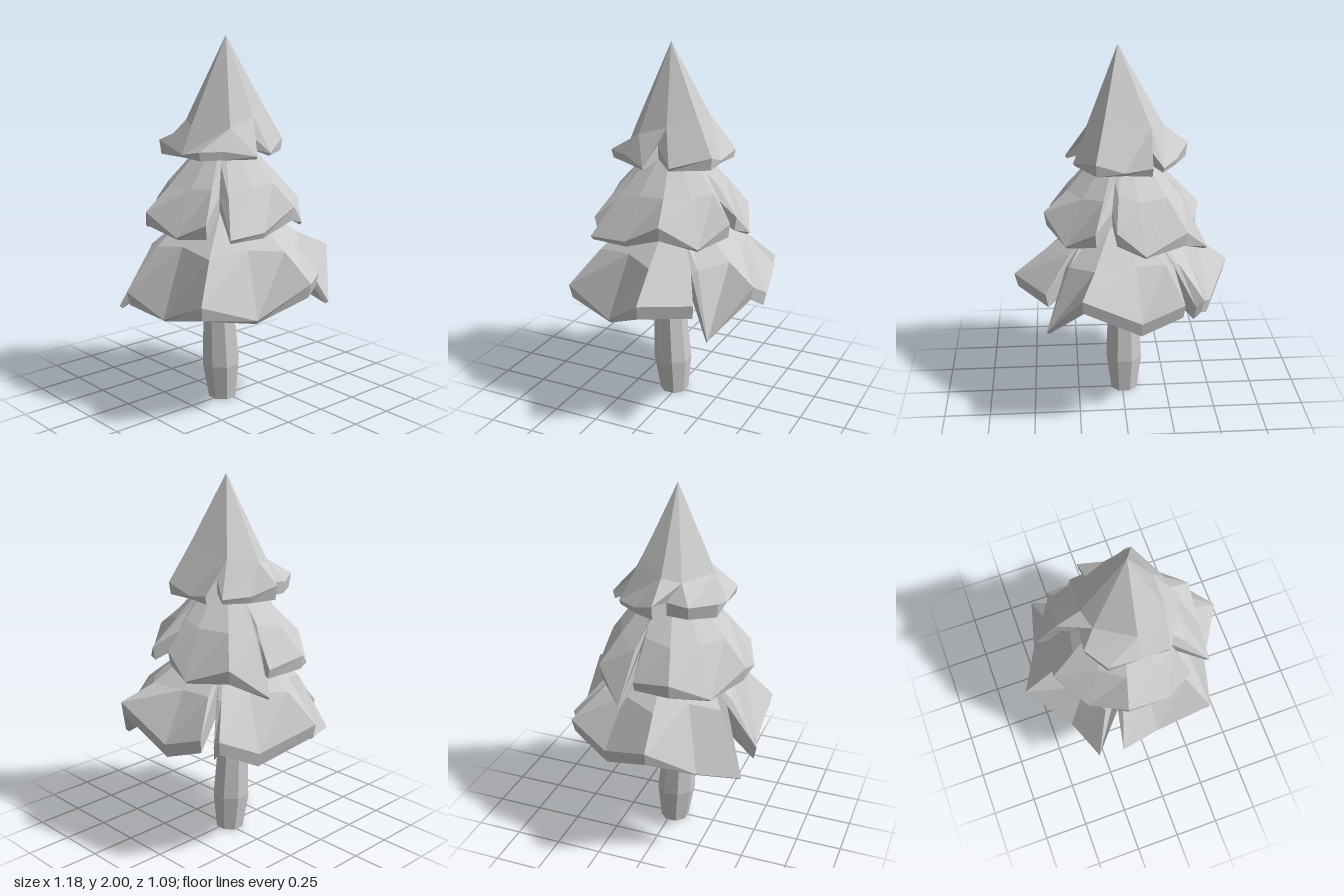
import * as THREE from 'three';

const material = new THREE.MeshStandardMaterial({ color: 0xcccccc, flatShading: true, side: THREE.DoubleSide });

// Elbow between apex and rim point, pulled most of the way onto a cone
const coneElbow = (top, p, slope) => {
  const m = top.clone().lerp(p, 0.7);
  const coneY = top.y - slope * Math.hypot(m.x - top.x, m.z - top.z);
  m.y = THREE.MathUtils.lerp(m.y, coneY, 0.8);
  return m;
};

// One foliage skirt: apex, elbow ring, ragged rim, thin lip and hollow underside.
// A fourth number in a rim point picks its elbow from the list.
function foliage(name, { apex, slope, elbows, hollow, floor, rim }) {
  const top = new THREE.Vector3(...apex);
  const cavity = new THREE.Vector3(0, hollow, 0.02);
  const edge = rim.map(([x, y, z]) => new THREE.Vector3(x, y, z));
  const mid = edge.map((p, i) => (elbows ? new THREE.Vector3(...elbows[rim[i][3]]) : coneElbow(top, p, slope)));
  const lip = edge.map((p) => new THREE.Vector3(
    p.x * 0.97, Math.min(p.y - 0.012, Math.max(p.y - 0.075, floor)), p.z * 0.97));
  const rings = [mid, edge, lip];
  const pos = [];
  const tri = (a, b, c) => {
    if (!a.equals(b)) for (const p of [a, b, c]) pos.push(p.x, p.y, p.z);
  };
  const n = edge.length;
  for (let i = 0; i < n; i++) {
    const j = (i + 1) % n;
    tri(mid[j], mid[i], top);
    for (let k = 0; k < 2; k++) {
      const a = rings[k], b = rings[k + 1];
      tri(a[i], a[j], b[j]);
      tri(b[j], b[i], a[i]);
    }
    tri(lip[i], lip[j], cavity);
  }
  const geometry = new THREE.BufferGeometry();
  geometry.setAttribute('position', new THREE.Float32BufferAttribute(pos, 3));
  geometry.computeVertexNormals();
  const mesh = new THREE.Mesh(geometry, material);
  mesh.name = name;
  return mesh;
}

export function createModel() {
  const tree = new THREE.Group();
  tree.name = 'tree';

  // Eight-sided trunk, bulging low down and leaning slightly
  const profile = [[0, 0], [0.079, 0], [0.106, 0.2], [0.084, 0.6], [0.06, 1.1]];
  const trunkShape = new THREE.LatheGeometry(profile.map(([r, y]) => new THREE.Vector2(r, y)), 8);
  trunkShape.rotateY(Math.PI / 8);
  const p = trunkShape.attributes.position;
  for (let i = 0; i < p.count; i++) p.setZ(i, p.getZ(i) + 0.05 * p.getY(i));
  trunkShape.translate(-0.011, 0, 0.019);
  const trunk = new THREE.Mesh(trunkShape, material);
  trunk.name = 'trunk';
  tree.add(trunk);

  // Rim points run from +x round through +z; the high ones close to the axis are notches
  tree.add(foliage('lowerFoliage', {
    apex: [0, 1.2, 0], slope: 0.7, hollow: 0.9, floor: 0.57,
    rim: [
      [0.59, 0.77, -0.06], [0.45, 0.59, 0.18], [0.36, 0.7, 0.475], [0.05, 0.56, 0.475],
      [-0.18, 0.67, 0.54], [-0.15, 0.88, 0.36], [-0.31, 0.55, 0.5], [-0.4, 0.58, 0.28],
      [-0.59, 0.77, 0.07], [-0.46, 0.65, -0.21], [-0.395, 0.76, -0.43], [-0.355, 0.72, -0.43],
      [-0.25, 0.9, -0.31], [-0.295, 0.75, -0.465], [-0.07, 0.67, -0.505], [0.235, 0.83, -0.545],
      [0.42, 0.57, -0.375], [0.31, 0.88, -0.23], [0.42, 0.75, -0.295],
    ],
  }));
  tree.add(foliage('middleFoliage', {
    apex: [0, 1.57, 0.01], slope: 1.07, hollow: 1.22, floor: 1.0,
    rim: [
      [0.42, 1.14, -0.1], [0.41, 1.03, 0.1], [0.39, 1.02, 0.31], [0.2, 1.2, 0.22],
      [0.26, 1.08, 0.36], [0.11, 1.0, 0.43], [-0.12, 1.1, 0.45], [-0.3, 0.98, 0.32],
      [-0.43, 1.09, 0.14], [-0.39, 1.05, -0.07], [-0.3, 1.2, -0.06], [-0.45, 0.93, -0.13],
      [-0.32, 1.08, -0.29], [-0.1, 0.99, -0.385], [0.05, 1.12, -0.37], [0.07, 1.2, -0.28],
      [0.16, 1.12, -0.38], [0.31, 1.01, -0.27],
    ],
  }));
  tree.add(foliage('topFoliage', {
    apex: [0.02, 2, 0.02], hollow: 1.48, floor: 1.385,
    elbows: [
      [0.18, 1.54, 0.13], [0, 1.55, 0.235], [-0.19, 1.55, 0.12], [-0.22, 1.57, 0.02],
      [-0.14, 1.6, -0.13], [0.1, 1.65, -0.16], [0.18, 1.59, -0.03],
    ],
    rim: [
      [0.3, 1.4, 0.05, 0], [0.21, 1.43, 0.2, 0], [0.15, 1.43, 0.31, 0], [0, 1.4, 0.3, 1],
      [-0.18, 1.46, 0.31, 1], [-0.26, 1.45, 0.18, 2], [-0.25, 1.46, 0.06, 2], [-0.35, 1.47, 0.02, 3],
      [-0.28, 1.42, -0.1, 3], [-0.2, 1.41, -0.22, 4], [-0.13, 1.5, -0.19, 4], [-0.14, 1.43, -0.28, 4],
      [0, 1.4, -0.26, 5], [0.15, 1.45, -0.27, 5], [0.26, 1.4, -0.08, 6], [0.2, 1.5, 0.01, 6],
    ],
  }));
  return tree;
}
